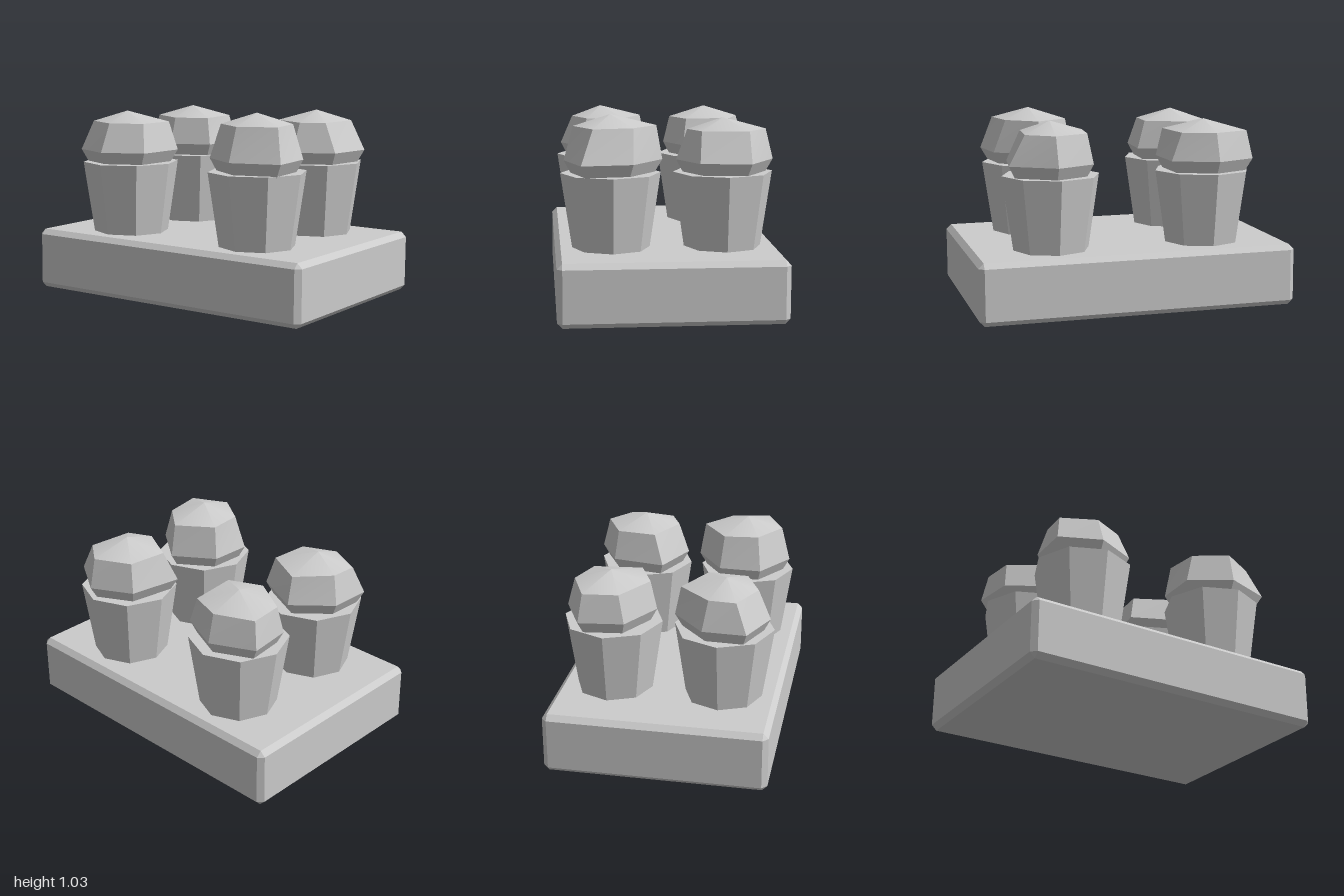
import * as THREE from 'three';
import { toCreasedNormals } from 'three/addons/utils/BufferGeometryUtils.js';
import { ConvexGeometry } from 'three/addons/geometries/ConvexGeometry.js';

const YAW = -0.376;

// Six-sided puffs: outer and upper rings as [x, z] in hundredths, plus apex height
const PUFFS = [
  { apex: 1.005,
    outer: [[-52, -41], [-46, -64], [-21, -66], [-3, -48], [-13, -22], [-36, -21]],
    upper: [[-49, -43], [-44, -61], [-22, -62], [-8, -50], [-15, -25], [-34, -24]] },
  { apex: 1.015,
    outer: [[22, -8], [37, -33], [61, -36], [77, -14], [64, 9], [41, 11]],
    upper: [[29, -11], [39, -30], [60, -32], [69, -17], [58, 5], [44, 6]] },
  { apex: 1.01,
    outer: [[-77, 17], [-68, -4], [-44, -13], [-24, 8], [-36, 33], [-60, 34]],
    upper: [[-71, 13], [-65, 0], [-45, -10], [-29, 8], [-38, 27], [-57, 28]] },
  { apex: 1.035,
    outer: [[3, 44], [12, 23], [37, 17], [52, 41], [45, 67], [18, 65]],
    upper: [[9, 44], [14, 26], [36, 20], [46, 38], [42, 59], [21, 61]] },
];

// Box with every edge chamfered by c
function chamferedBox(a, h, b, c) {
  const points = [];
  for (const x of [-1, 1]) for (const y of [-1, 1]) for (const z of [-1, 1]) {
    points.push(
      new THREE.Vector3(x * a, y * (h - c), z * (b - c)),
      new THREE.Vector3(x * (a - c), y * h, z * (b - c)),
      new THREE.Vector3(x * (a - c), y * (h - c), z * b));
  }
  return new ConvexGeometry(points);
}

// Rings joined by quads and closed by a shallow apex
function puffGeometry({ apex, outer, upper }) {
  const n = outer.length;
  const cx = outer.reduce((s, p) => s + p[0], 0) / n;
  const cz = outer.reduce((s, p) => s + p[1], 0) / n;
  const lower = outer.map(([x, z]) => [cx + (x - cx) * 0.68, cz + (z - cz) * 0.68]);
  const rings = [[lower, 0.65], [outer, 0.795], [upper, apex - 0.06]];
  const positions = [];
  for (const [ring, y] of rings) for (const [x, z] of ring) positions.push(x / 100, y, z / 100);
  positions.push(cx / 100, apex, cz / 100);
  const index = [];
  for (let i = 0; i < n; i++) {
    const j = (i + 1) % n;
    for (let r = 0; r < 2 * n; r += n) {
      index.push(r + j, r + i, r + n + i, r + j, r + n + i, r + n + j);
    }
    index.push(2 * n + j, 2 * n + i, 3 * n);
  }
  const geometry = new THREE.BufferGeometry();
  geometry.setAttribute('position', new THREE.Float32BufferAttribute(positions, 3));
  geometry.setIndex(index);
  return toCreasedNormals(geometry, 0.5);
}

export function createModel() {
  const model = new THREE.Group();
  model.name = 'cupTray';
  const grey = new THREE.MeshStandardMaterial({ color: 0xcccccc });
  grey.name = 'grey';
  const add = (parent, name, geometry) => {
    const mesh = new THREE.Mesh(geometry, grey);
    mesh.name = name;
    parent.add(mesh);
    return mesh;
  };

  // Turned tray, with a hint of tilt
  const tilt = new THREE.Group();
  tilt.name = 'trayTilt';
  tilt.position.y = 0.173;
  tilt.rotation.z = -0.0075;
  model.add(tilt);
  add(tilt, 'tray', chamferedBox(0.855, 0.165, 0.589, 0.028)).rotation.y = YAW;

  // Four tapered octagonal cups, lined up with the tray
  const cups = new THREE.Group();
  cups.name = 'cups';
  cups.rotation.y = YAW;
  model.add(cups);
  const cupGeometry = toCreasedNormals(new THREE.CylinderGeometry(0.263, 0.203, 0.405, 8), 0.5);
  for (const x of [-0.42, 0.42]) for (const z of [-0.295, 0.295]) {
    add(cups, 'cup', cupGeometry).position.set(x, 0.5275, z);
  }

  // Uneven puffs filling the cups
  for (const puff of PUFFS) add(model, 'puff', puffGeometry(puff));
  return model;
}
